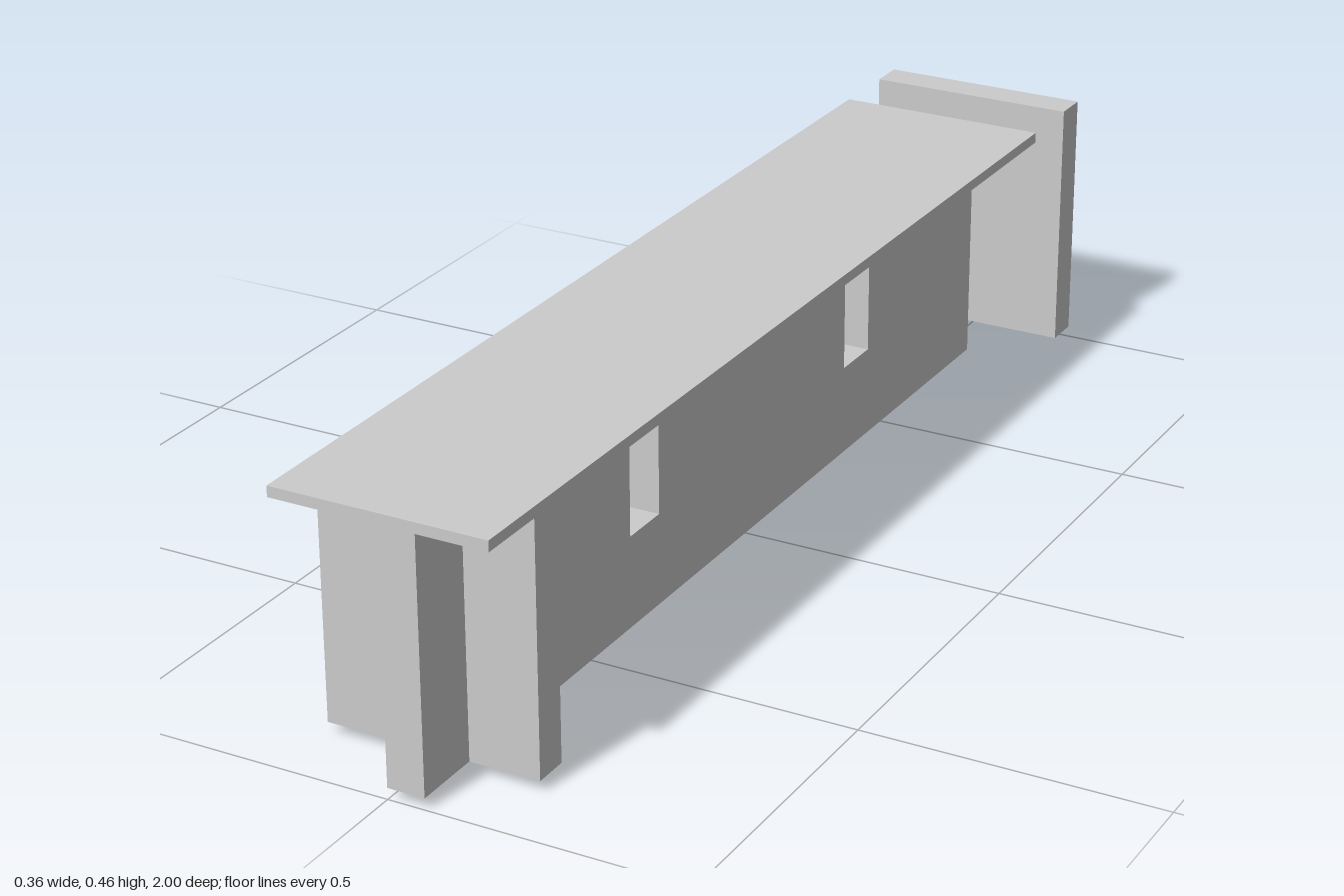
import * as THREE from 'three';

const HALF = 0.182;      // half width of the building
const BASE = 0.019;      // underside of the walls
const EAVES = 0.437;     // underside of the roof
const TOP = 0.455;
const BACK = -0.817;     // rear end of roof and long walls
const SPINE = [0, 0.063]; // x range of the inner wall

export function createModel() {
  const group = new THREE.Group();
  const material = new THREE.MeshStandardMaterial({ color: 0xcccccc, flatShading: true });

  const add = (name, geometry) => {
    const mesh = new THREE.Mesh(geometry, material);
    mesh.name = name;
    group.add(mesh);
  };

  // box given by its min and max along each axis
  const box = (name, [x0, x1], [y0, y1], [z0, z1]) => {
    const geometry = new THREE.BoxGeometry(x1 - x0, y1 - y0, z1 - z0);
    geometry.translate((x0 + x1) / 2, (y0 + y1) / 2, (z0 + z1) / 2);
    add(name, geometry);
  };

  // rectangle in the (z, y) plane
  const rect = (path, z0, z1, y0, y1) => {
    path.moveTo(z0, y0).lineTo(z1, y0).lineTo(z1, y1).lineTo(z0, y1).closePath();
    return path;
  };

  // flat roof and the floor plate under one half
  box('roof', [-HALF, HALF], [EAVES, TOP], [BACK, 1]);
  box('floorPlate', [-HALF, 0], [0, BASE], [-0.27, 0.82]);

  // solid outer wall along the right side
  box('outerWall', [-HALF, -0.118], [BASE, EAVES], [BACK, 0.82]);

  // cross wall near the front, on both sides of the inner wall
  box('crossWallRight', [-HALF, SPINE[0]], [BASE, EAVES], [0.82, 0.88]);
  box('crossWallLeft', [SPINE[1], HALF], [BASE, EAVES], [0.82, 0.88]);

  // long inner wall with two window openings
  const wall = rect(new THREE.Shape(), BACK, 1, BASE, EAVES);
  for (const z of [-0.363, 0.363]) {
    wall.holes.push(rect(new THREE.Path(), z - 0.045, z + 0.045, 0.175, 0.35));
  }
  const wallGeometry = new THREE.ExtrudeGeometry(wall, { depth: SPINE[1] - SPINE[0], bevelEnabled: false });
  wallGeometry.rotateY(-Math.PI / 2).translate(SPINE[1], 0, 0);
  add('innerWall', wallGeometry);

  // free-standing wall behind the building
  box('rearWall', [-HALF, HALF], [BASE, TOP], [-1, -0.939]);

  return group;
}
